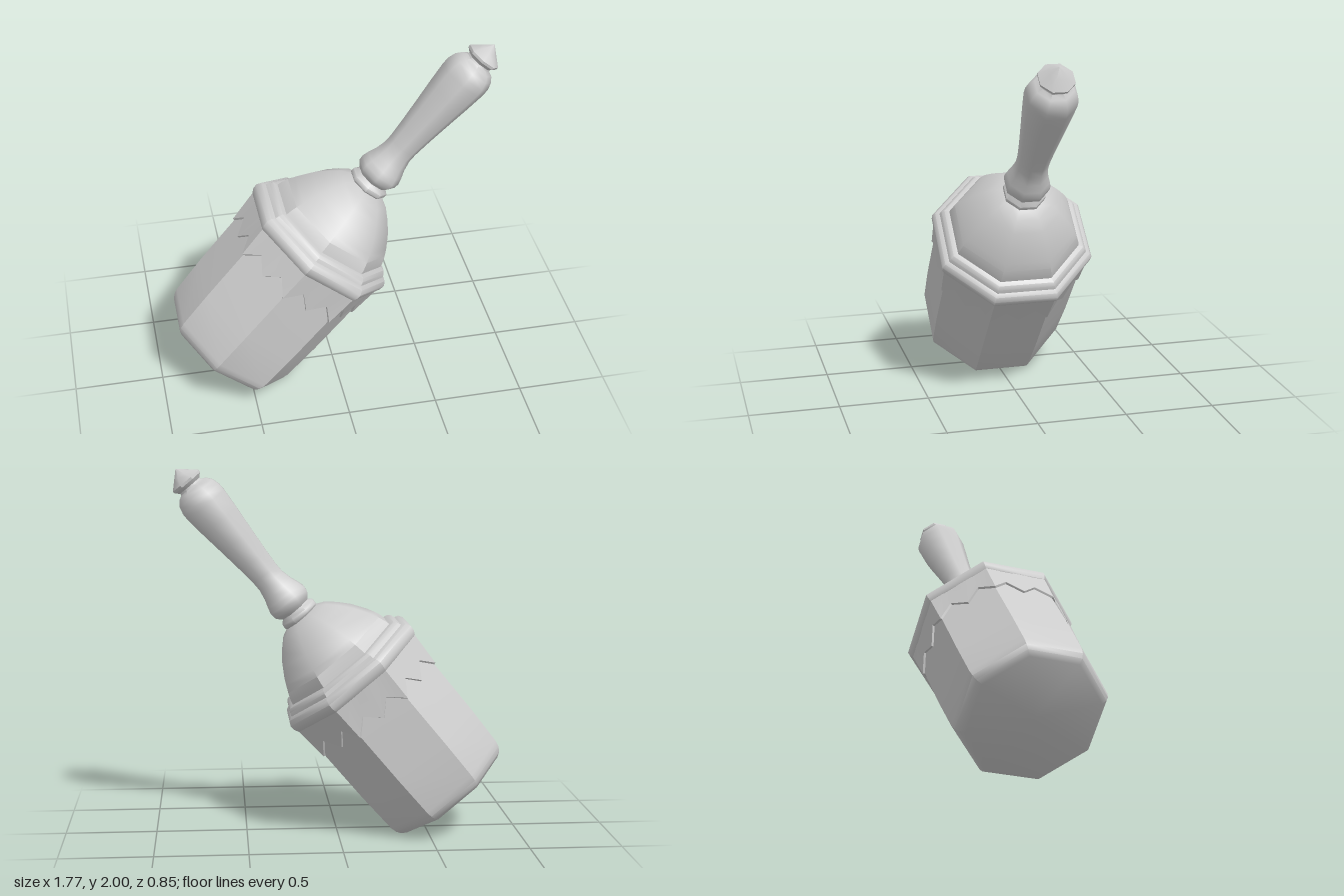
import * as THREE from 'three';
import { toCreasedNormals } from 'three/addons/utils/BufferGeometryUtils.js';

const SIDES = 8;
const TILT = THREE.MathUtils.degToRad(39.9);
const CORNER = 1 / Math.cos(Math.PI / SIDES);

// Eight-sided lathe; profile is [distance to flat, height along the axis], bottom to top
function turned(name, profile, crease, material) {
  const points = profile.map(([r, t]) => new THREE.Vector2(r * CORNER, t));
  const lathe = new THREE.LatheGeometry(points, SIDES, Math.PI / SIDES);
  const mesh = new THREE.Mesh(toCreasedNormals(lathe, crease), material);
  mesh.name = name;
  return mesh;
}

// Point on an octagon, u counted in quarter sides starting from a corner
function octagonPoint(apothem, u, y) {
  const side = Math.floor(u / 4), f = (u % 4) / 4;
  const at = (k) => {
    const a = Math.PI / SIDES + (k * 2 * Math.PI) / SIDES;
    return new THREE.Vector3(Math.sin(a), 0, Math.cos(a)).multiplyScalar(apothem * CORNER);
  };
  return at(side).lerp(at(side + 1), f).setY(y);
}

// Jagged skirt below the ring: points at corners and side middles, notches between
function jaggedSkirt(material) {
  const columns = SIDES * 4, pos = [], index = [];
  for (let i = 0; i <= columns; i++) {
    const low = i % 2 ? 0.695 : 0.615;
    for (const [r, y] of [[0.38, low], [0.398, low + 0.008], [0.412, 0.86]]) {
      pos.push(...octagonPoint(r, i, y).toArray());
    }
  }
  for (let i = 0; i < columns; i++) {
    for (let j = 0; j < 2; j++) {
      const a = i * 3 + j, b = a + 3;
      index.push(a, b, b + 1, a, b + 1, a + 1);
    }
  }
  const geometry = new THREE.BufferGeometry();
  geometry.setAttribute('position', new THREE.Float32BufferAttribute(pos, 3));
  geometry.setIndex(index);
  const mesh = new THREE.Mesh(toCreasedNormals(geometry, 0.6), material);
  mesh.name = 'jaggedSkirt';
  return mesh;
}

export function createModel() {
  const grey = new THREE.MeshStandardMaterial({ color: 0xcccccc, side: THREE.DoubleSide });
  grey.name = 'plain grey';

  const tool = new THREE.Group();
  tool.name = 'tiltedTool';

  // Bristle block with a softened lower rim
  tool.add(turned('bristleBlock', [
    [0, -0.018], [0.325, -0.018], [0.352, 0.002], [0.368, 0.03], [0.376, 0.065],
    [0.385, 0.3], [0.388, 0.6], [0.388, 0.88],
  ], 0.7, grey));

  tool.add(jaggedSkirt(grey));

  // Raised ring with a smaller upper step
  tool.add(turned('ring', [
    [0.385, 0.8], [0.41, 0.815], [0.422, 0.84], [0.424, 0.87], [0.41, 0.895],
    [0.388, 0.905], [0.38, 0.925], [0.366, 0.942], [0.335, 0.948],
  ], 0.7, grey));

  // Faceted dome
  tool.add(turned('dome', [
    [0.345, 0.93], [0.336, 0.97], [0.32, 1.01], [0.3, 1.05], [0.25, 1.13],
    [0.2, 1.19], [0.15, 1.24], [0.085, 1.275], [0, 1.29],
  ], 0.7, grey));

  // Collar at the foot of the handle
  tool.add(turned('collar', [
    [0.07, 1.25], [0.09, 1.262], [0.108, 1.278], [0.108, 1.3], [0.09, 1.316], [0.082, 1.335],
  ], 1.0, grey));

  // Turned grip
  tool.add(turned('grip', [
    [0.082, 1.32], [0.1, 1.338], [0.115, 1.36], [0.117, 1.39], [0.108, 1.425], [0.092, 1.47],
    [0.08, 1.53], [0.08, 1.58], [0.088, 1.68], [0.102, 1.82], [0.117, 1.96],
    [0.127, 2.07], [0.126, 2.11], [0.115, 2.15], [0.094, 2.178], [0.068, 2.192], [0.066, 2.215],
  ], 1.0, grey));

  // Pointed end knob
  tool.add(turned('endKnob', [
    [0.064, 2.2], [0.088, 2.222], [0.09, 2.236], [0.045, 2.278], [0, 2.32],
  ], 0.6, grey));

  tool.rotation.z = -TILT;
  tool.position.set(-0.622, 0.223, 0);

  const model = new THREE.Group();
  model.name = 'brush';
  model.add(tool);
  return model;
}
